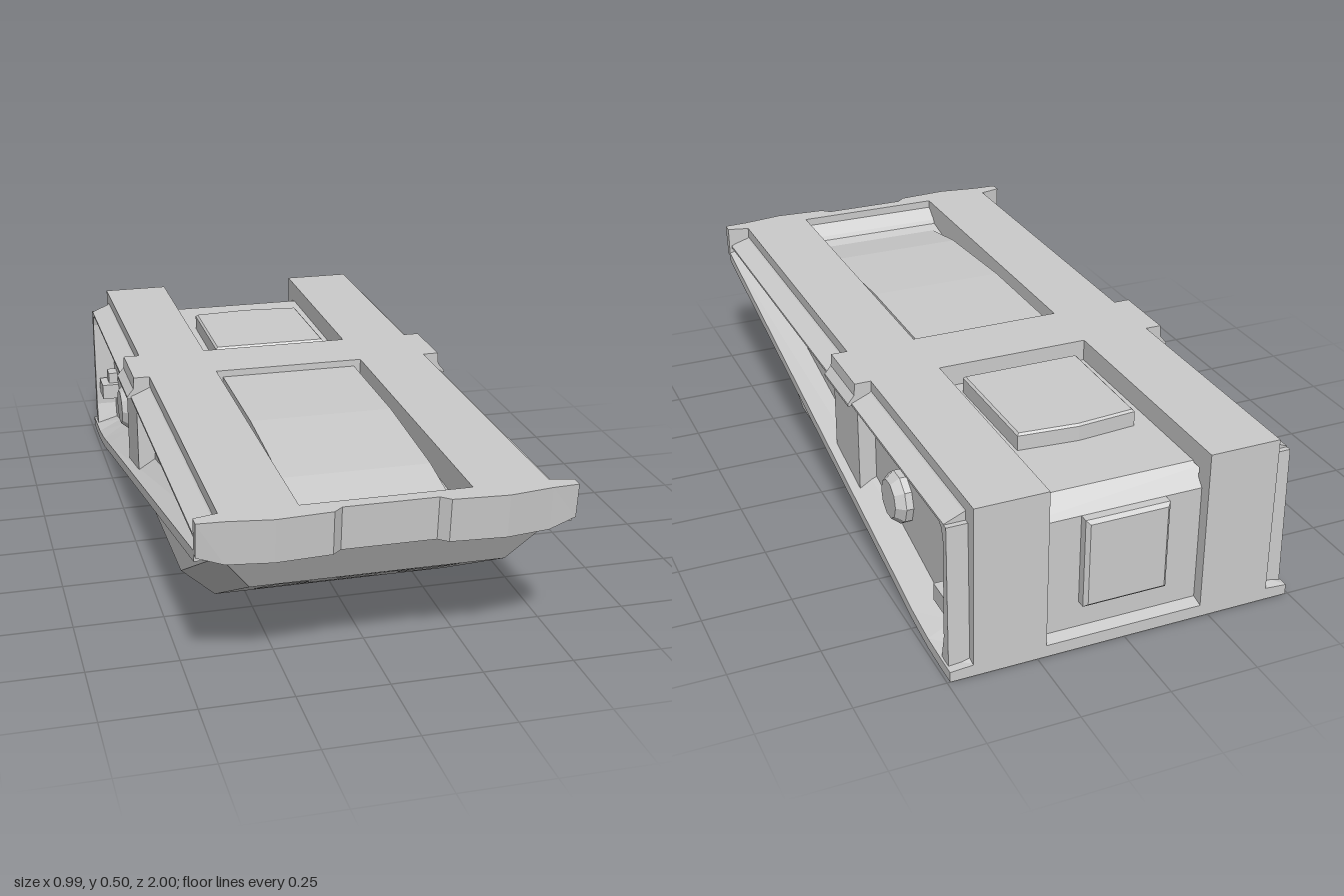
import * as THREE from 'three';
import { ConvexGeometry } from 'three/addons/geometries/ConvexGeometry.js';

const grey = new THREE.MeshStandardMaterial({ color: 0xcccccc, flatShading: true });
const greyDouble = new THREE.MeshStandardMaterial({ color: 0xcccccc, flatShading: true, side: THREE.DoubleSide });

export function createModel() {
  const model = new THREE.Group();

  const add = (name, geometry, material = grey) => {
    const mesh = new THREE.Mesh(geometry, material);
    mesh.name = name;
    model.add(mesh);
    return mesh;
  };
  const toShape = pts => new THREE.Shape(pts.map(p => new THREE.Vector2(...p)));
  const extrude = (pts, depth) => new THREE.ExtrudeGeometry(toShape(pts), { depth, bevelEnabled: false });
  // Side outline of [z, y] points, extruded from x0 to x1 on side s
  const sideProfile = (name, pts, x0, x1, s = 1) =>
    add(name, extrude(pts, x1 - x0).rotateY(-Math.PI / 2).translate(s > 0 ? x1 : -x0, 0, 0));
  // Cross-section of [x, y] points, extruded from z0 to z1
  const section = (name, pts, z0, z1) => add(name, extrude(pts, z1 - z0).translate(0, 0, z0));
  // Box outline on one side of the body
  const sideBox = (name, s, x0, x1, y0, y1, z0, z1) =>
    sideProfile(name, [[z0, y0], [z1, y0], [z1, y1], [z0, y1]], x0, x1, s);
  // Raised plate with a chamfered edge, facing local +z
  const plate = (pts, depth, bevel) => new THREE.ExtrudeGeometry(toShape(pts), {
    depth, bevelThickness: bevel, bevelSize: bevel, bevelOffset: -bevel, bevelSegments: 1 });

  // Wedge-shaped core behind the recessed panels
  sideProfile('bodyCore', [[0.945, 0.39], [0.945, 0.405], [0.66, 0.415], [0.3, 0.43], [-0.915, 0.435],
    [-0.965, 0.38], [-0.965, 0.02], [-0.85, 0.02], [-0.62, 0.06]], -0.42, 0.42);

  // Sloping flange, lofted from stations of z, bottom y, inner top y
  const stations = [[0.945, 0.38, 0.44], [-0.62, 0.045, 0.12], [-0.74, 0.018, 0.095],
    [-0.85, 0.003, 0.07], [-0.94, 0, 0.05], [-1, 0, 0.035]];
  const verts = [], faces = [];
  for (const [z, y, hi] of stations) {
    const half = [[0.492, y], [0.492, y + 0.03], [0.42, hi]];
    for (const [x, py] of half) verts.push(x, py, z);
    for (const [x, py] of half.reverse()) verts.push(-x, py, z);
  }
  const last = (stations.length - 1) * 6;
  for (let r = 0; r < last; r += 6) {
    for (let j = 0; j < 6; j++) {
      const k = (j + 1) % 6;
      faces.push(r + j, r + 6 + j, r + 6 + k, r + j, r + 6 + k, r + k);
    }
  }
  for (let j = 1; j < 5; j++) faces.push(0, j, j + 1, last, last + j + 1, last + j);
  const flange = new THREE.BufferGeometry();
  flange.setAttribute('position', new THREE.Float32BufferAttribute(verts, 3));
  flange.setIndex(faces);
  flange.computeVertexNormals();
  add('flange', flange);

  // Faceted belly, left open where the pocketed front face goes
  const bellyPoints = [[0.34, 0.01, 0.42], [0.34, 0.01, -0.53], [0.43, 0.08, 0.39], [0.43, 0.055, -0.62],
    [0.34, 0.26, 0.88], [0.42, 0.35, 0.9], [0.43, 0.39, 0.955]]
    .flatMap(([x, y, z]) => [new THREE.Vector3(x, y, z), new THREE.Vector3(-x, y, z)]);
  const up = new THREE.Vector3(0, 0.25, 0.46).normalize();
  const right = new THREE.Vector3(1, 0, 0);
  const out = right.clone().cross(up);
  const hull = new ConvexGeometry(bellyPoints).attributes.position;
  const kept = [];
  for (let i = 0; i < hull.count; i += 3) {
    const c = [0, 1, 2].map(k => new THREE.Vector3().fromBufferAttribute(hull, i + k));
    const n = new THREE.Triangle(...c).getNormal(new THREE.Vector3());
    if (n.dot(out) < 0.999) c.forEach(v => kept.push(v.x, v.y, v.z));
  }
  const belly = new THREE.BufferGeometry();
  belly.setAttribute('position', new THREE.Float32BufferAttribute(kept, 3));
  belly.computeVertexNormals();
  add('belly', belly);

  // Front face of the belly with four shallow pockets
  const v = y => (y - 0.01) / up.y;
  const sidePocket = [[0.25, 0.22], [0.13, 0.165], [0.13, 0.115], [0.25, 0.05]];
  const pockets = [
    sidePocket, sidePocket.map(([x, y]) => [-x, y]),
    [[-0.12, 0.25], [0.12, 0.25], [0.065, 0.195], [-0.065, 0.195]],
    [[-0.16, 0.022], [0.16, 0.022], [0.07, 0.078], [-0.07, 0.078]],
  ].map(poly => poly.map(([x, y]) => [x, v(y)]));
  const face = toShape([[-0.34, 0], [0.34, 0], [0.34, v(0.26)], [-0.34, v(0.26)]]);
  face.holes = pockets.map(p => new THREE.Path(p.map(q => new THREE.Vector2(...q))));
  const place = new THREE.Matrix4().makeBasis(right, up, out).setPosition(0, 0.01, 0.42);
  add('bellyFront', new THREE.ShapeGeometry(face).applyMatrix4(place), greyDouble);
  for (const rim of pockets) {
    const cx = rim.reduce((s, p) => s + p[0], 0) / 4, cy = rim.reduce((s, p) => s + p[1], 0) / 4;
    const pos = [], idx = [4, 5, 6, 4, 6, 7];
    for (const [x, y] of rim) pos.push(x, y, 0);
    for (const [x, y] of rim) pos.push(cx + (x - cx) * 0.5, cy + (y - cy) * 0.5, -0.015);
    for (let j = 0; j < 4; j++) {
      const k = (j + 1) % 4;
      idx.push(j, k, k + 4, j, k + 4, j + 4);
    }
    const g = new THREE.BufferGeometry();
    g.setAttribute('position', new THREE.Float32BufferAttribute(pos, 3));
    g.setIndex(idx);
    g.computeVertexNormals();
    add('bellyPocket', g.applyMatrix4(place), greyDouble);
  }

  // Front lip with a central notch and raised lower corners
  const lipHalf = [[0.125, 0.968], [0.15, 0.99], [0.3, 1], [0.42, 0.982], [0.492, 0.978], [0.492, 0.945], [0.43, 0.93]];
  const lipPlan = [...lipHalf, ...lipHalf.map(([x, z]) => [-x, z]).reverse()].map(([x, z]) => [x, -z]);
  const lip = extrude(lipPlan, 0.12).rotateX(-Math.PI / 2).translate(0, 0.375, 0);
  const lp = lip.attributes.position;
  for (let i = 0; i < lp.count; i++) {
    if (lp.getY(i) > 0.4) continue;
    if (lp.getZ(i) > 0.95) lp.setZ(i, lp.getZ(i) - 0.01);
    if (Math.abs(lp.getX(i)) > 0.45) lp.setY(i, 0.4);
  }
  lip.computeVertexNormals();
  add('frontLip', lip);

  // Crossband over the top, flaring at its ends
  const bandHalf = [[0.475, 0.495], [0.478, 0.46], [0.497, 0.437], [0.497, 0.43], [0.4, 0.425]];
  section('crossband', [...bandHalf, ...bandHalf.map(([x, y]) => [-x, y]).reverse()], -0.28, -0.08);

  for (const s of [1, -1]) {
    // Top rail turning down into the rear post
    sideProfile('railAndRearPost', [[0.945, 0.395], [0.945, 0.495], [-1, 0.495], [-1, 0.02],
      [-0.945, 0.02], [-0.945, 0.43], [0.3, 0.425]], 0.225, 0.428, s);
    // Sloping ledge along the rail, overhanging the side panel
    section('railLedge', [[0.42, 0.47], [0.432, 0.46], [0.486, 0.437], [0.486, 0.43], [0.41, 0.425]]
      .map(([x, y]) => [s * x, y]), -0.95, 0.94);
    // Side post under the crossband
    sideProfile('sidePost', [[-0.08, 0.19], [-0.08, 0.435], [-0.28, 0.435], [-0.28, 0.15]], 0.41, 0.47, s);
    // Rear corner plate, rounded into the ledge
    sideProfile('rearCornerPlate', [[-0.93, 0.03], [-0.945, 0.1], [-0.945, 0.39], [-0.935, 0.42], [-0.91, 0.435],
      [-0.965, 0.435], [-0.975, 0.02]], 0.41, 0.486, s);
    // Ten-sided stud
    const stud = add('sideStud', new THREE.CylinderGeometry(0.055, 0.075, 0.025, 10)
      .translate(0, 0.0325, 0).rotateZ(-s * Math.PI / 2));
    stud.position.set(s * 0.42, 0.25, -0.5);
    const collar = add('studCollar', new THREE.CylinderGeometry(0.075, 0.075, 0.03, 10).rotateZ(Math.PI / 2));
    collar.position.set(s * 0.425, 0.25, -0.5);
    // Small latch and ridge on the side panel
    sideBox('sideLatch', s, 0.41, 0.475, 0.15, 0.2, -0.93, -0.85);
    sideBox('latchTab', s, 0.41, 0.45, 0.2, 0.235, -0.92, -0.87);
    sideProfile('sideRidge', [[-0.08, 0.345], [0.03, 0.345], [0.1, 0.39], [-0.08, 0.39]], 0.41, 0.445, s);
  }

  // Sloping panel in the front top recess
  sideProfile('frontTopPanel', [[0.87, 0.4], [0.87, 0.415], [0.66, 0.452], [0.3, 0.475],
    [-0.08, 0.475], [-0.08, 0.42]], -0.205, 0.205);
  // Ledge at the front end of the recess
  sideProfile('recessLedge', [[0.945, 0.4], [0.945, 0.485], [0.935, 0.475], [0.89, 0.44], [0.87, 0.4]], -0.228, 0.228);
  // Raised block in the rear top recess, with a peaked rear edge
  add('rearTopBlock', plate([[-0.175, 0.33], [0.175, 0.33], [0.172, 0.69], [0, 0.705], [-0.172, 0.69]], 0.045, 0.006)
    .rotateX(-Math.PI / 2)).position.set(0, 0.432, 0);
  // Raised block on the back
  add('backBlock', plate([[-0.12, 0.12], [0.12, 0.12], [0.12, 0.38], [-0.12, 0.38]], 0.03, 0.01)
    .rotateY(Math.PI)).position.set(0, 0, -0.96);

  return model;
}
